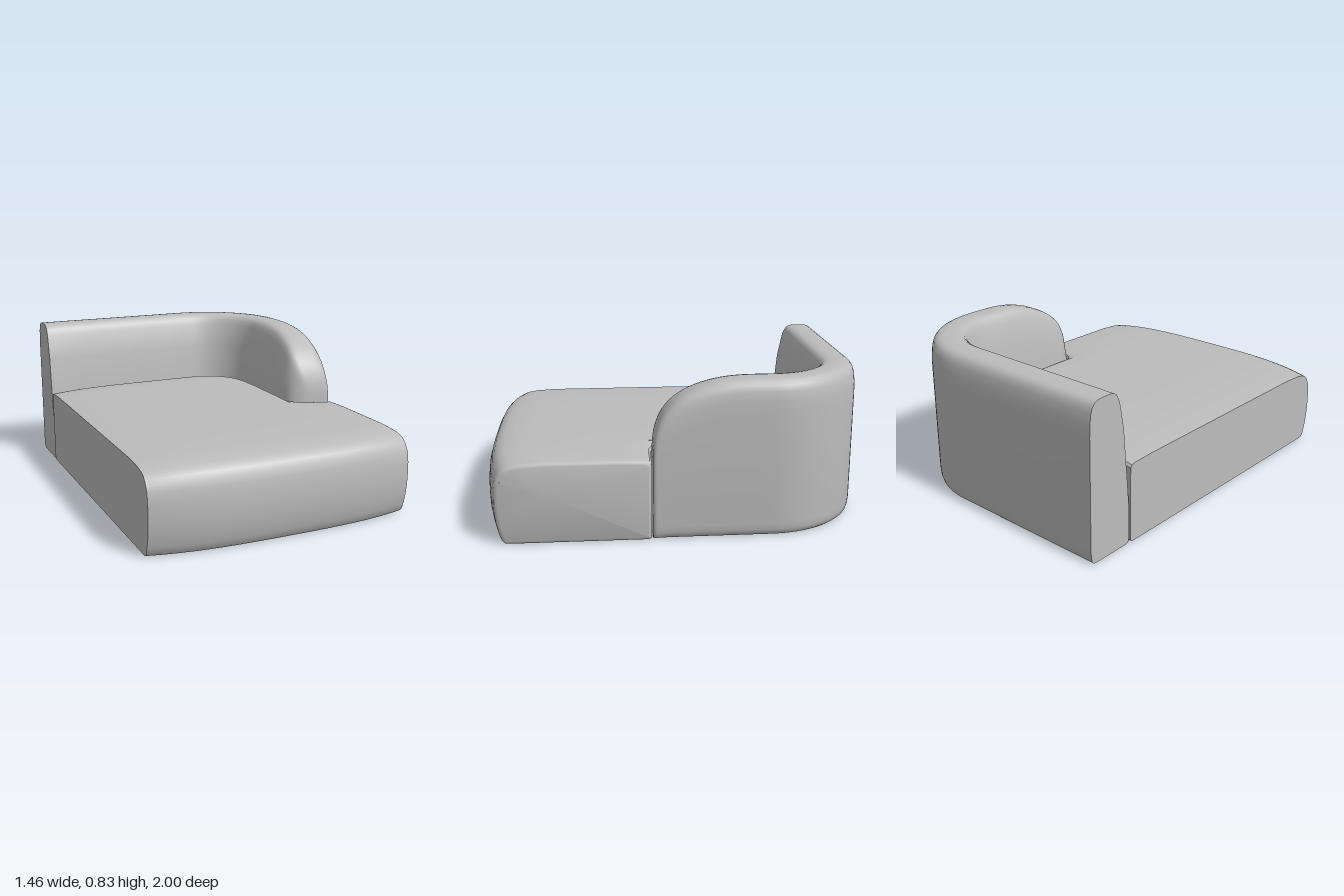
import * as THREE from 'three';
import { toCreasedNormals } from 'three/addons/utils/BufferGeometryUtils.js';

// Closed loft through equal-length rings of [x, y, z], with a fan cap at each end
function loft(rings) {
  const n = rings[0].length, pos = [], idx = [];
  rings.forEach(r => r.forEach(p => pos.push(...p)));
  for (let i = 0; i < rings.length - 1; i++) {
    for (let j = 0; j < n; j++) {
      const k = (j + 1) % n, a = i * n + j, d = i * n + k;
      idx.push(a, a + n, d + n, a, d + n, d);
    }
  }
  [0, rings.length - 1].forEach(i => {
    const c = pos.length / 3;
    for (let m = 0; m < 3; m++) pos.push(rings[i].reduce((s, p) => s + p[m], 0) / n);
    for (let j = 0; j < n; j++) {
      const a = i * n + j, b = i * n + (j + 1) % n;
      idx.push(...(i === 0 ? [c, a, b] : [c, b, a]));
    }
  });
  const g = new THREE.BufferGeometry();
  g.setAttribute('position', new THREE.Float32BufferAttribute(pos, 3));
  g.setIndex(idx);
  return toCreasedNormals(g, 0.6);
}

// Backrest section: o = distance inward from the outer face, w = width at seat level
function backSection(H, w) {
  const f = w / 0.27;
  const inner = y => 0.27 - 0.2 * Math.max(0, y - 0.43);
  const t = inner(H);
  return [
    [0.25, 0], [0.265, 0.006], [0.27, 0.02], [0.27, 0.2], [inner(H - 0.2), H - 0.2],
    [inner(H - 0.06), H - 0.06], [t - 0.002, H - 0.03], [t - 0.012, H - 0.014], [t - 0.03, H - 0.004],
    [t - 0.055, H], [0.08, H], [0.05, H - 0.004], [0.032, H - 0.013], [0.018, H - 0.03],
    [0.008, H - 0.06], [0.002, H - 0.11], [0, H - 0.17], [0, 0.07], [0.003, 0.035],
    [0.01, 0.012], [0.02, 0.003], [0.035, 0],
  ].map(([o, y]) => [o * f, y]);
}

// Backrest swept along the rear, round the corner and into the sloping arm
function backGeometry() {
  const R = 0.52, cx = 0.2, cz = -0.48, rings = [];
  const add = (x, z, nx, nz, H = 0.83, w = 0.27) =>
    rings.push(backSection(H, w).map(([o, y]) => [x + nx * o, y, z + nz * o]));
  for (let i = 0; i < 4; i++) add(-0.73 + i * 0.31, -1, 0, 1);
  for (let i = 0; i <= 24; i++) {
    const t = i / 24 * Math.PI / 2, s = Math.sin(t), c = Math.cos(t);
    add(cx + R * s, cz - R * c, -s, c);
  }
  for (let i = 0; i <= 32; i++) {
    const z = -0.42 + 0.556 * Math.sin(i / 32 * Math.PI / 2);
    const u = THREE.MathUtils.clamp((z + 0.4) / 0.536, 0, 1);
    const H = 0.44 + 0.39 * Math.pow(1 - Math.pow(u, 2.4), 1 / 2.4);
    const q = THREE.MathUtils.clamp((z - 0.016) / 0.12, 0, 1);
    const w = 0.13 + 0.14 * Math.sqrt(1 - q * q);
    const e = THREE.MathUtils.clamp((z - 0.116) / 0.02, 0, 1);
    const inset = 0.015 * (1 - Math.sqrt(1 - e * e));
    add(0.72 - inset, z, -1, 0, H, w - inset);
  }
  return loft(rings);
}

// Rear edge of the seat at x: follows the inside of the backrest and arm
function seatBack(x) {
  if (x <= 0.2) return -0.722;
  if (x <= 0.443) return -0.48 - Math.sqrt(Math.max(0, 0.243 ** 2 - (x - 0.2) ** 2));
  const q = THREE.MathUtils.clamp((0.585 - x) / 0.142, 0, 1);
  return 0.016 + 0.126 * Math.sqrt(1 - q * q);
}

// Seat lofted across x from front-to-back sections
function seatGeometry() {
  const xs = [-0.733, -0.728, -0.715, -0.69];
  for (let i = 1; i <= 20; i++) xs.push(-0.69 + i * 0.0445);
  for (let i = 1; i <= 12; i++) xs.push(0.2 + 0.243 * Math.sin(i / 12 * Math.PI / 2));
  for (let i = 0; i <= 10; i++) xs.push(0.4435 + 0.1415 * (1 - Math.cos(i / 10 * Math.PI / 2)));
  xs.push(0.62, 0.66, 0.69, 0.705, 0.715, 0.721, 0.725);
  return loft(xs.map(x => {
    const k = Math.min(1, Math.abs(x) / 0.73);
    const e = THREE.MathUtils.clamp((x - 0.705) / 0.02, 0, 1);
    const s = 0.018 * (1 - Math.sqrt(1 - e * e));
    const f = 0.998 - 0.065 * k ** 3 - s, b = seatBack(x) + s;
    const h = 0.45 - 0.02 * k ** 4 - s;
    const profile = [
      [b + 0.012, 0], [f - 0.07, 0], [f - 0.045, 0.004], [f - 0.033, 0.018], [f - 0.022, 0.05],
      [f - 0.01, 0.1], [f - 0.002, 0.16], [f, 0.22], [f - 0.002, 0.28], [f - 0.009, 0.335],
      [f - 0.02, h - 0.075], [f - 0.035, h - 0.048], [f - 0.055, h - 0.03], [f - 0.085, h - 0.017],
      [f - 0.14, h - 0.007], [f - 0.25, h], [f - 0.5, h], [b + 0.16, h], [b + 0.03, h - 0.004],
      [b + 0.01, h - 0.009], [b, h - 0.022], [b, 0.012],
    ];
    return profile.map(([z, y]) => [x, Math.max(y, s), z]);
  }));
}

export function createModel() {
  const fabric = new THREE.MeshStandardMaterial({ color: 0xbcbcbc });
  fabric.name = 'greyFabric';
  const group = new THREE.Group();
  group.name = 'chaiseSofa';
  const add = (name, geometry) => {
    const mesh = new THREE.Mesh(geometry, fabric);
    mesh.name = name;
    group.add(mesh);
  };
  add('seat', seatGeometry());
  add('backrestAndArm', backGeometry());
  return group;
}
